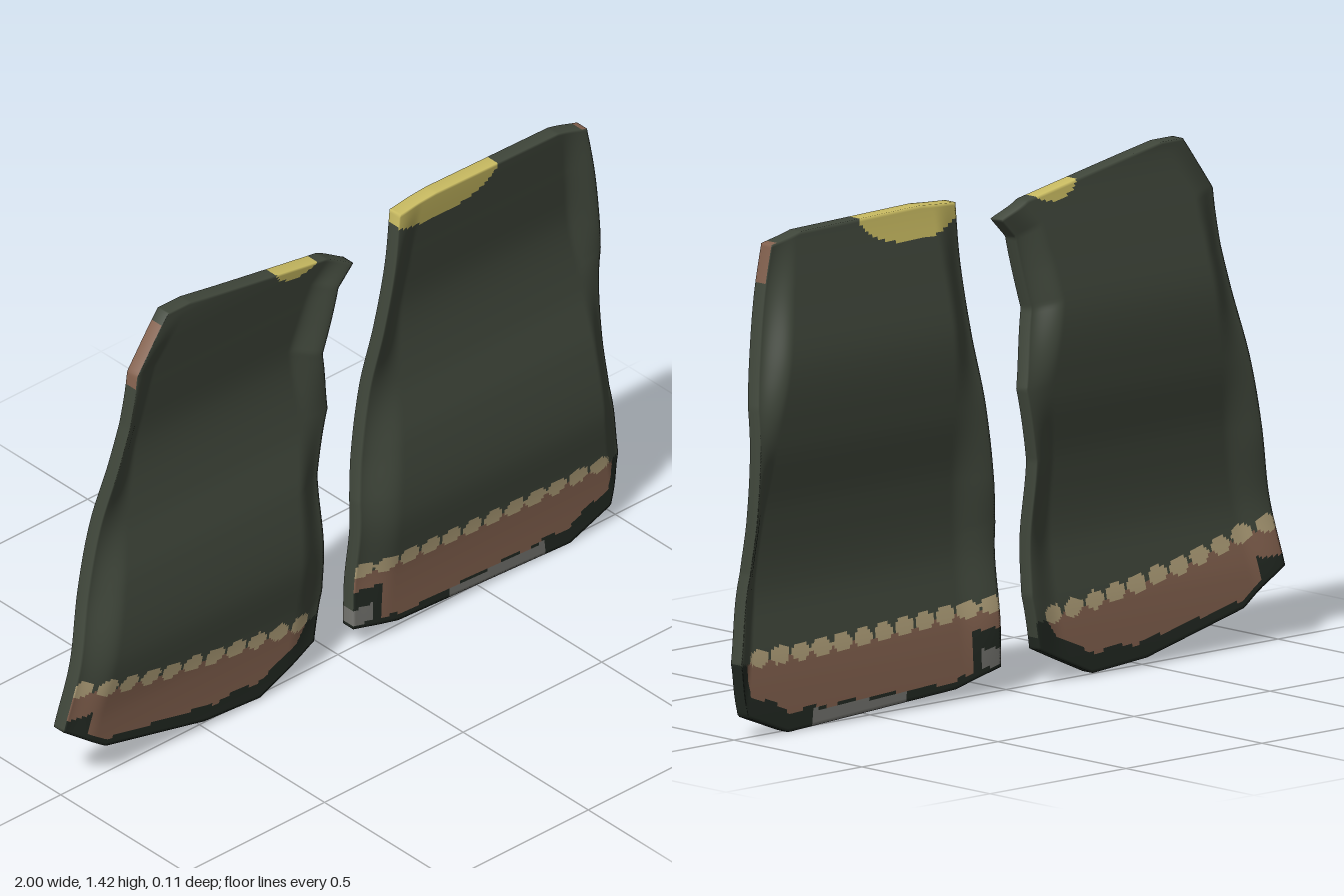
import * as THREE from 'three';

const colours = {
  greenCloth: 0x40473b, brownBand: 0x84624f, creamStitch: 0xb3a27b,
  yellowPatch: 0xcabc62, darkTrim: 0x232a23, greyPatch: 0x74746f,
};
const [GREEN, BROWN, CREAM, YELLOW, DARK, GREY] = Object.keys(colours).keys();

const HALF = 0.02; // half the cloth thickness
const NU = 110, NV = 140;

// Straight-sided outline edge, measured by length
function edge(...pts) {
  const path = new THREE.CurvePath();
  const v = pts.map(([x, y]) => new THREE.Vector2(x, y));
  for (let i = 1; i < v.length; i++) path.add(new THREE.LineCurve(v[i - 1], v[i]));
  return path;
}

// Waves of the cloth, one sample each 0.2 of height: middle of a panel and its side edges
const wave = (...zs) => new THREE.SplineCurve(zs.map((z, i) => new THREE.Vector2(i * 0.2, z)));
const middleWave = wave(0, 0.009, 0.033, 0.018, -0.019, -0.034, -0.008, 0.02);
const edgeWave = wave(0, -0.008, 0.004, -0.018, -0.019, 0.01, 0.026, 0.02);

function depth(u, y) {
  const t = THREE.MathUtils.clamp(y / 1.4, 0, 1);
  const w = THREE.MathUtils.smoothstep(Math.min(u, 1 - u), 0, 0.13);
  return THREE.MathUtils.lerp(edgeWave.getPoint(t).y, middleWave.getPoint(t).y, w);
}

const inOval = (x, y, cx, cy, rx, ry) => ((x - cx) / rx) ** 2 + ((y - cy) / ry) ** 2 < 1;

// Colour of a spot on a panel; u runs across it and hem is the bottom outline below the spot
function paint(p, u, x, y, hem) {
  if (inOval(x, y, p.yellowX, 1.37, p.yellowWidth, p.yellowHeight)) return YELLOW;
  const step = (p.stitchEnd - p.stitchStart) / (p.stitchCount - 1);
  const k = THREE.MathUtils.clamp(Math.round((x - p.stitchStart) / step), 0, p.stitchCount - 1);
  const cx = p.stitchStart + k * step;
  if (inOval(x, y, cx, p.seam(cx), 0.035, 0.025)) return CREAM;
  if (y > p.seam(x) - 0.008) return GREEN;
  if (p.worn && Math.abs(x - 0.555) < 0.175 && y < 0.052) return GREY;
  if (p.worn && u < 0.06 && Math.abs(y - 0.105) < 0.025) return GREY;
  const corner = (u < 0.09 && y < p.cornerTop) || u > 0.975;
  const rounding = 0.05 * THREE.MathUtils.smoothstep(u, 0.88, 1);
  const trim = hem + 0.012 + 0.06 * u + rounding + 0.005 * Math.sin(x * 45);
  return corner || y < trim ? DARK : BROWN;
}

// Colour of a spot on the rim: brown at the outer top corner, plain green sides above the hem
function paintRim(p, u, x, y, hem) {
  if (Math.abs(x) > p.rimPatchX && y > 1.23) return BROWN;
  const atSide = u < 0.001 || u > 0.999;
  if (atSide && y > 0.13 && y < 1.2) return GREEN;
  if (p.worn && u > 0.97 && y > 0.06 && y < 0.11) return GREY;
  return paint(p, u, x, y, hem);
}

function makePanel(p, materials) {
  const sample = (path, n) => Array.from({ length: n + 1 }, (_, i) => path.getPoint(i / n));
  const [lefts, rights] = [sample(p.left, NV), sample(p.right, NV)];
  const [bottoms, tops] = [sample(p.bottom, NU), sample(p.top, NU)];
  const [bl, br, tl, tr] = [bottoms[0], bottoms[NU], tops[0], tops[NU]];

  const positions = [];
  const add = (x, y, z) => positions.push(x, y, z) / 3 - 1;

  // Fill the four outline edges with a blended grid, with a front and a back corner at each spot
  const grid = lefts.map((l, j) => bottoms.map((b, i) => {
    const u = i / NU, v = j / NV;
    const mix = (k) => (1 - u) * l[k] + u * rights[j][k] + (1 - v) * b[k] + v * tops[i][k]
      - (1 - v) * ((1 - u) * bl[k] + u * br[k]) - v * ((1 - u) * tl[k] + u * tr[k]);
    const x = mix('x'), y = mix('y'), z = depth(u, y);
    return { u, hem: b.y, x, y, front: add(x, y, z + HALF), back: add(x, y, z - HALF) };
  }));

  const faces = materials.map(() => []);
  const quad = (a, b, c, d, m) => faces[m].push(a, b, c, a, c, d);
  const between = (rule, a, b) =>
    rule(p, (a.u + b.u) / 2, (a.x + b.x) / 2, (a.y + b.y) / 2, (a.hem + b.hem) / 2);

  // Front and back cloth
  for (let j = 0; j < NV; j++) {
    for (let i = 0; i < NU; i++) {
      const [a, b, c, d] = [grid[j][i], grid[j][i + 1], grid[j + 1][i + 1], grid[j + 1][i]];
      const m = between(paint, a, c);
      quad(a.front, b.front, c.front, d.front, m);
      quad(d.back, c.back, b.back, a.back, m);
    }
  }

  // Rim, counter-clockwise round the outline, sharing corners so the edge is shaded softly
  const loop = [
    ...grid[0].slice(0, NU),
    ...grid.slice(0, NV).map((row) => row[NU]),
    ...grid[NV].slice(1).reverse(),
    ...grid.slice(1).map((row) => row[0]).reverse(),
  ];
  loop.forEach((a, i) => {
    const b = loop[(i + 1) % loop.length];
    quad(a.front, a.back, b.back, b.front, between(paintRim, a, b));
  });

  // One geometry group for each colour
  const geometry = new THREE.BufferGeometry();
  geometry.setAttribute('position', new THREE.Float32BufferAttribute(positions, 3));
  geometry.setIndex(faces.flat());
  let start = 0;
  faces.forEach((f, m) => {
    geometry.addGroup(start, f.length, m);
    start += f.length;
  });
  geometry.computeVertexNormals();
  const mesh = new THREE.Mesh(geometry, materials);
  mesh.name = p.name;
  return mesh;
}

const rightPanel = {
  name: 'rightClothPanel',
  left: edge([-1, 0.21], [-0.915, 0.56], [-0.79, 1.11], [-0.765, 1.27], [-0.65, 1.42]),
  right: edge([-0.1, 0.1], [-0.07, 0.25], [-0.075, 0.62], [-0.04, 0.82], [-0.085, 1.03], [-0.04, 1.23], [0.015, 1.285]),
  bottom: edge([-1, 0.21], [-0.86, 0.11], [-0.5, 0.025], [-0.3, 0.01], [-0.1, 0.1]),
  top: edge([-0.65, 1.42], [-0.57, 1.42], [-0.07, 1.33], [0.015, 1.285]),
  seam: (x) => 0.19 - 0.08 * (x + 0.15) + 0.12 * (x + 0.15) ** 2,
  stitchStart: -0.945, stitchEnd: -0.16, stitchCount: 11,
  yellowX: -0.17, yellowWidth: 0.085, yellowHeight: 0.053,
  cornerTop: 0.24, rimPatchX: 0.67, worn: false,
};

const leftPanel = {
  name: 'leftClothPanel',
  left: edge([0.04, 0.075], [0.06, 0.47], [0.105, 0.76], [0.185, 1.36]),
  right: edge([1, 0.21], [0.96, 0.45], [0.935, 0.9], [0.86, 1.335]),
  bottom: edge([0.04, 0.075], [0.2, 0.035], [0.82, 0.003], [0.965, 0.06], [1, 0.21]),
  top: edge([0.185, 1.36], [0.32, 1.37], [0.76, 1.36], [0.86, 1.335]),
  seam: (x) => 0.215 + 0.05 * (x - 0.92) ** 2,
  stitchStart: 0.075, stitchEnd: 0.915, stitchCount: 12,
  yellowX: 0.345, yellowWidth: 0.2, yellowHeight: 0.09,
  cornerTop: 0.185, rimPatchX: 0.84, worn: true,
};

export function createModel() {
  const materials = Object.entries(colours).map(([name, color]) => {
    const material = new THREE.MeshStandardMaterial({ color });
    material.name = name;
    return material;
  });
  const model = new THREE.Group();
  model.name = 'clothPanels';
  model.add(makePanel(rightPanel, materials), makePanel(leftPanel, materials));
  return model;
}
